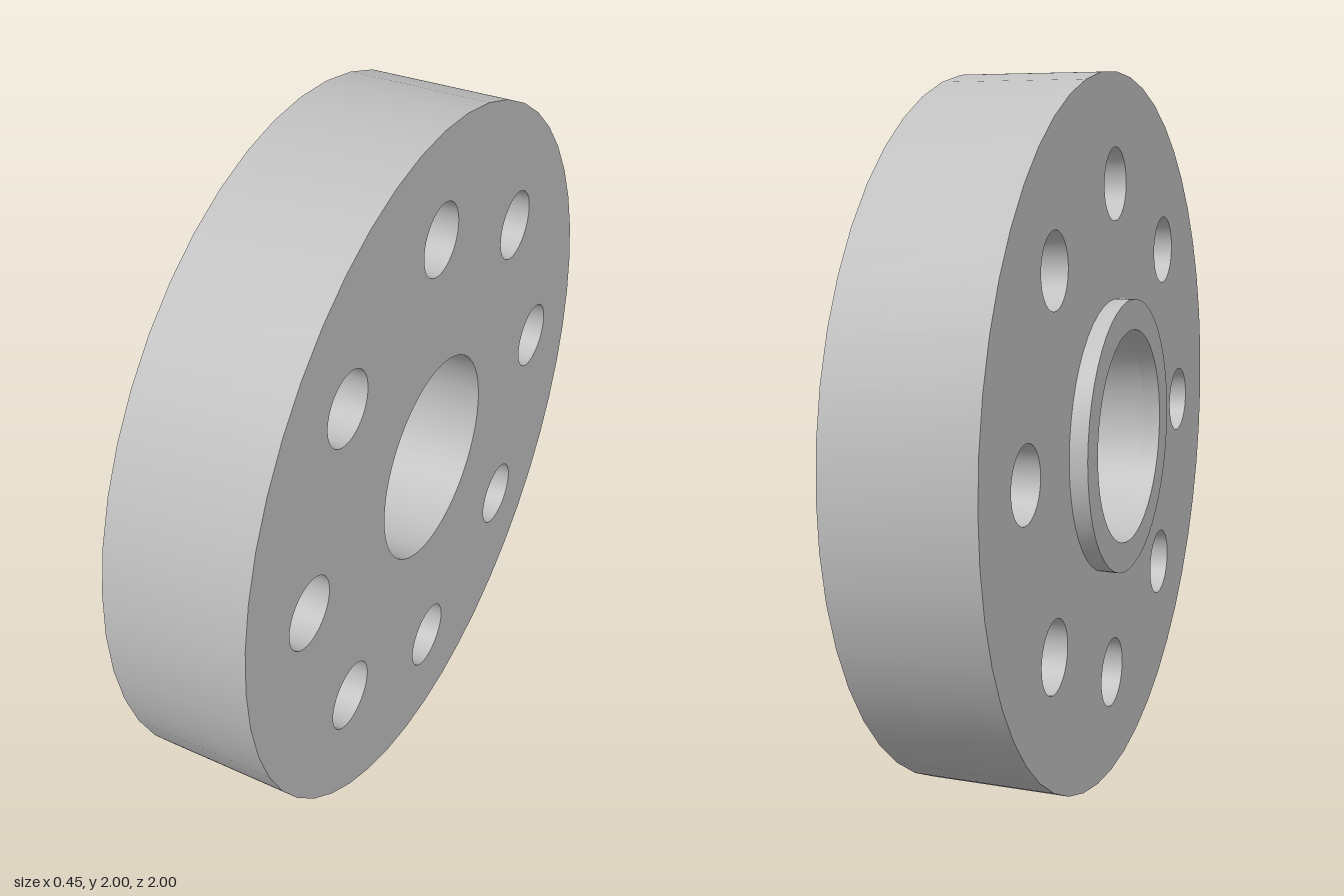
import * as THREE from 'three';
import { toCreasedNormals } from 'three/addons/utils/BufferGeometryUtils.js';

const BORE = 0.3;

// Circular outline with round holes [z, y, radius], extruded along x from x0 to x1
function plate(name, radius, holes, x0, x1, material) {
  const shape = new THREE.Shape().absarc(0, 0, radius, 0, Math.PI * 2, false);
  for (const [u, v, r] of holes) {
    shape.holes.push(new THREE.Path().absarc(u, v, r, 0, Math.PI * 2, true));
  }
  const extruded = new THREE.ExtrudeGeometry(shape, {
    depth: x1 - x0, bevelEnabled: false, curveSegments: 24,
  });
  extruded.translate(0, 0, x0).rotateY(Math.PI / 2);
  const mesh = new THREE.Mesh(toCreasedNormals(extruded, 0.6), material);
  mesh.name = name;
  mesh.position.y = 1;
  return mesh;
}

export function createModel() {
  const steel = new THREE.MeshStandardMaterial({ color: 0xc0c0c0 });
  steel.name = 'steel grey';

  const model = new THREE.Group();
  model.name = 'flange';

  // Central bore plus a ring of eight bolt holes
  const bore = [0, 0, BORE];
  const boltHoles = [];
  for (let i = 0; i < 8; i++) {
    const a = (i * Math.PI) / 4;
    boltHoles.push([0.7 * Math.cos(a), 0.7 * Math.sin(a), 0.1]);
  }

  model.add(plate('flangeDisc', 1, [bore, ...boltHoles], -0.175, 0.225, steel));
  // Raised collar around the bore
  model.add(plate('raisedCollar', 0.385, [bore], -0.225, -0.175, steel));
  return model;
}
